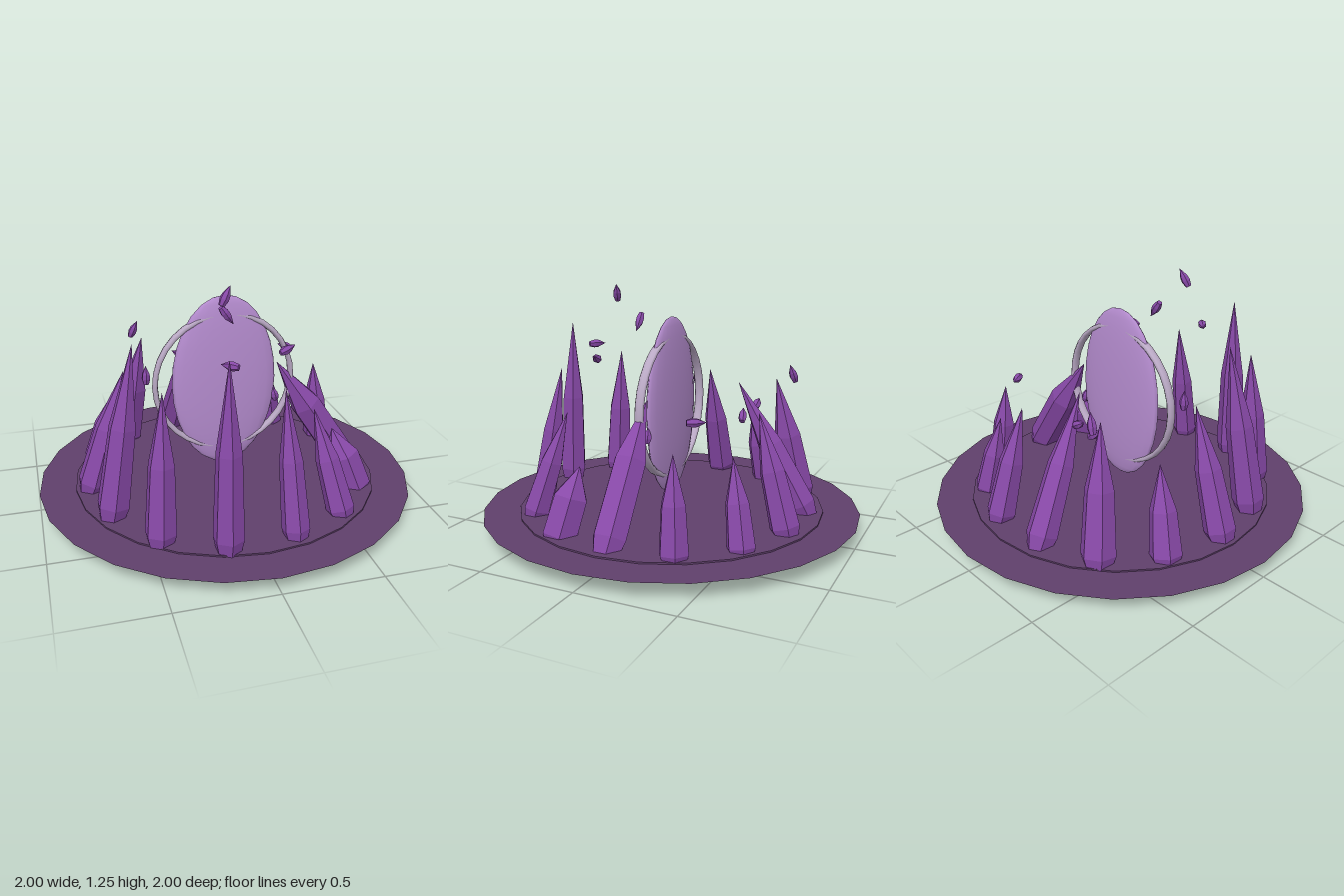
import * as THREE from 'three';

const mat = (name, color, extra = {}) => new THREE.MeshStandardMaterial({ name, color, ...extra });

export function createModel() {
  const group = new THREE.Group();
  const crystalMat = mat('crystal purple', 0x8849a8, { flatShading: true });
  const groundMat = mat('dusky plum', 0x60406c, { side: THREE.DoubleSide });
  const portalMat = mat('pale violet', 0xb68dd0);
  const ringMat = mat('lilac grey', 0xbbaac6);

  const add = (name, geometry, material) => {
    const mesh = new THREE.Mesh(geometry, material);
    mesh.name = name;
    group.add(mesh);
    return mesh;
  };

  // Ground: thin outer disc and a slightly raised inner disc
  add('outerDisc', new THREE.CircleGeometry(1, 24).rotateX(-Math.PI / 2), groundMat).position.y = 0.094;
  add('innerDisc', new THREE.CylinderGeometry(0.81, 0.81, 0.008, 24), groundMat).position.y = 0.099;

  // Portal: flattened upright oval with a ring around it
  const portal = add('portal', new THREE.SphereGeometry(1, 20, 14), portalMat);
  portal.scale.set(0.28, 0.47, 0.043);
  portal.position.y = 0.64;
  const ring = add('portalRing', new THREE.TorusGeometry(0.37, 0.015, 8, 32), ringMat);
  ring.scale.z = 1.7;
  ring.position.y = 0.64;

  // Six-sided crystal from base to tip, widest just above the base
  const up = new THREE.Vector3(0, 1, 0);
  const crystal = (name, base, tip, r, profile) => {
    const a = new THREE.Vector3(...base);
    const dir = new THREE.Vector3(...tip).sub(a);
    const len = dir.length();
    const pts = profile.map(([w, t]) => new THREE.Vector2(w * r, t * len));
    const mesh = add(name, new THREE.LatheGeometry(pts, 6), crystalMat);
    mesh.position.copy(a);
    mesh.quaternion.setFromUnitVectors(up, dir.normalize());
  };

  // Circle of fourteen crystals: base, tip, radius
  const spike = [[0, 0], [0.62, 0], [1, 0.13], [0.82, 0.56], [0, 1]];
  const stout = [[0, 0], [0.62, 0], [1, 0.15], [0.97, 0.62], [0, 1]];
  [
    [[0.745, 0.035, 0], [0.29, 0.72, 0], 0.088, stout],
    [[0.66, 0.03, 0.31], [0.52, 0.415, 0.25], 0.095, stout],
    [[0.47, 0.05, 0.58], [0.34, 0.63, 0.43], 0.073, spike],
    [[0.17, 0.04, 0.72], [0.135, 0.82, 0.59], 0.07, spike],
    [[-0.175, 0.03, 0.735], [-0.165, 1.03, 0.705], 0.077, spike],
    [[-0.47, 0.04, 0.59], [-0.43, 0.84, 0.535], 0.08, spike],
    [[-0.67, 0.04, 0.31], [-0.515, 0.98, 0.25], 0.085, spike],
    [[-0.745, 0.05, 0], [-0.53, 0.75, 0], 0.083, spike],
    [[-0.67, 0.05, -0.325], [-0.55, 0.54, -0.26], 0.083, spike],
    [[-0.47, 0.04, -0.585], [-0.36, 0.76, -0.46], 0.09, spike],
    [[-0.17, 0.05, -0.72], [-0.08, 0.78, -0.345], 0.082, spike],
    [[0.165, 0.05, -0.71], [0.14, 0.68, -0.535], 0.078, spike],
    [[0.46, 0.05, -0.58], [0.39, 0.52, -0.5], 0.072, spike],
    [[0.67, 0.05, -0.33], [0.62, 0.57, -0.3], 0.075, spike],
  ].forEach(([b, t, r, p], i) => crystal('crystal' + (i + 1), b, t, r, p));

  // Floating shards: centre and half axis towards the tip
  const shard = [[0, 0], [0.65, 0], [1, 0.3], [0.9, 0.55], [0, 1]];
  [
    [[-0.09, 1.215, 0.37], [0.025, 0.045, -0.01]],
    [[-0.04, 1.065, 0.21], [0.032, -0.045, 0]],
    [[-0.11, 0.925, 0.51], [-0.035, 0, -0.03]],
    [[0.24, 0.905, 0.31], [0.042, 0.015, -0.012]],
    [[0.45, 0.68, -0.34], [-0.025, 0, -0.04]],
    [[-0.39, 0.79, -0.54], [0.02, 0.048, 0.01]],
    [[-0.18, 0.585, -0.335], [-0.035, 0.03, 0.01]],
    [[-0.16, 0.66, -0.42], [-0.035, 0.02, 0]],
    [[-0.42, 0.73, 0.035], [0, 0.05, 0]],
    [[0.28, 0.54, 0], [-0.01, 0.04, 0]],
  ].forEach(([c, h], i) => crystal('shard' + (i + 1),
    c.map((v, k) => v - h[k]), c.map((v, k) => v + h[k]), 0.023, shard));

  return group;
}
